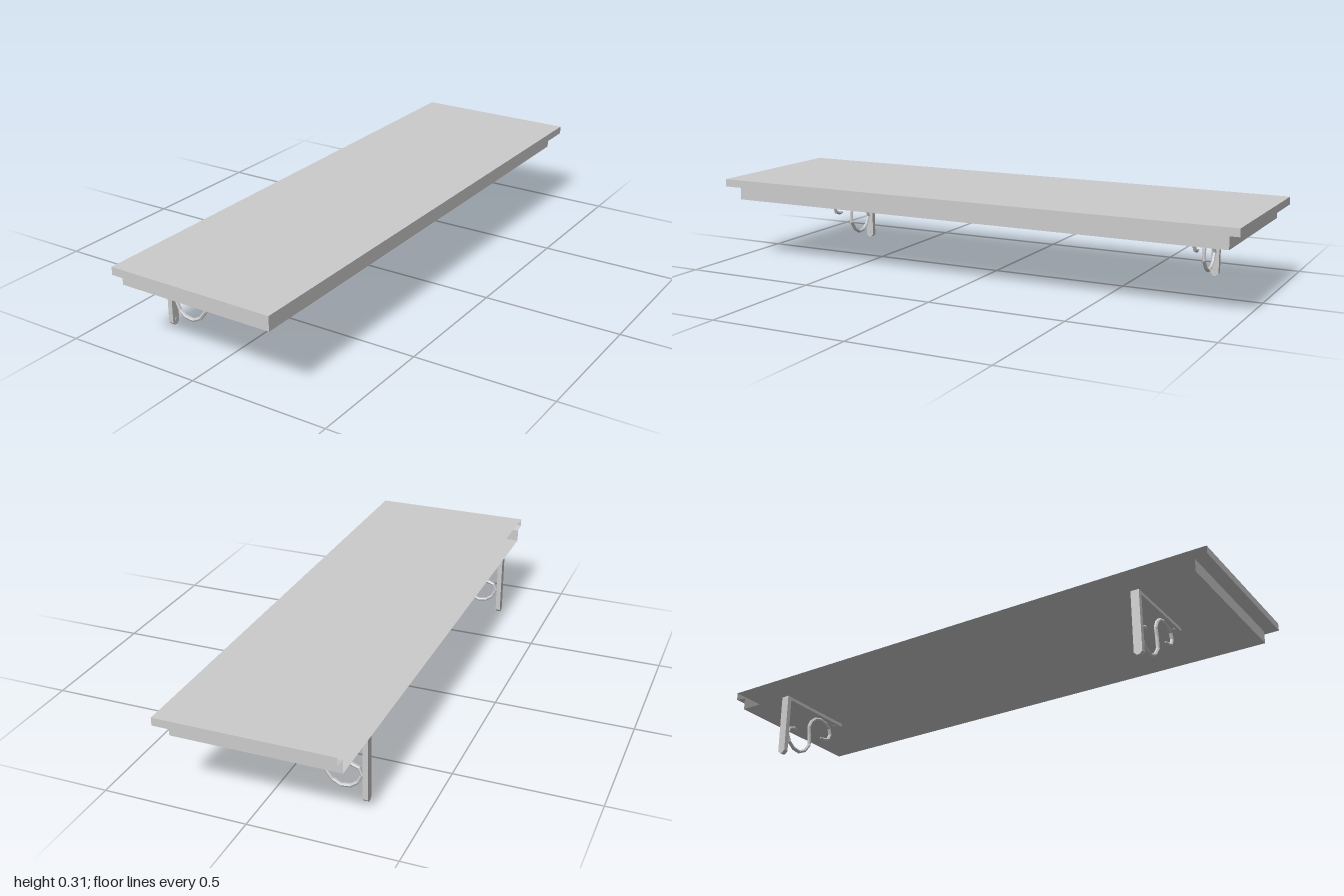
import * as THREE from 'three';

const BACK = -0.306;
const material = new THREE.MeshStandardMaterial({ color: 0xcccccc, flatShading: true });
const thinMaterial = new THREE.MeshStandardMaterial({ color: 0xcccccc, flatShading: true, side: THREE.DoubleSide });

function mesh(name, geometry, mat = material) {
  const m = new THREE.Mesh(geometry, mat);
  m.name = name;
  return m;
}

// Hollow shelf: stepped moulding on three sides, open along the wall side
function shelfGeometry() {
  const levels = [[0.312, 0.306, 1], [0.284, 0.306, 1], [0.278, 0.273, 0.957], [0.232, 0.273, 0.957]];
  const rings = levels.map(([y, x, z]) => [[BACK, y, z], [x, y, z], [x, y, -z], [BACK, y, -z]]);
  const positions = [];
  const quad = (a, b, c, d) => positions.push(...a, ...b, ...c, ...a, ...c, ...d);
  for (let i = 0; i < rings.length - 1; i++) {
    const upper = rings[i], lower = rings[i + 1];
    for (let j = 0; j < 3; j++) quad(lower[j], lower[j + 1], upper[j + 1], upper[j]);
  }
  quad(...rings[0]);
  quad(...[...rings[rings.length - 1]].reverse());
  const g = new THREE.BufferGeometry();
  g.setAttribute('position', new THREE.Float32BufferAttribute(positions, 3));
  g.computeVertexNormals();
  return g;
}

// Flat bar along +y with a chamfered tip at y = 0
function barGeometry(length, thickness) {
  const w = 0.015, c = 0.01;
  const shape = new THREE.Shape([
    [-w + c, 0], [w - c, 0], [w, c], [w, length], [-w, length], [-w, c],
  ].map(([x, y]) => new THREE.Vector2(x, y)));
  return new THREE.ExtrudeGeometry(shape, { depth: thickness, bevelEnabled: false });
}

// S-shaped scroll: a six-sided rod bent along a centre line, tapered at both tips
function scrollGeometry() {
  const path = [
    [-0.23, 0.12], [-0.245, 0.124], [-0.27, 0.115], [-0.28, 0.09], [-0.266, 0.06],
    [-0.241, 0.042], [-0.209, 0.038], [-0.179, 0.053], [-0.155, 0.085], [-0.157, 0.128],
    [-0.1625, 0.16], [-0.15, 0.185], [-0.129, 0.204], [-0.1, 0.212], [-0.066, 0.206],
    [-0.045, 0.192], [-0.0375, 0.169], [-0.048, 0.146], [-0.071, 0.138], [-0.091, 0.138],
  ].map(([x, y]) => new THREE.Vector2(x, y));
  const last = path.length - 1;
  const g = new THREE.CylinderGeometry(1, 1, 1, 6, last);
  const p = g.attributes.position;
  for (let i = 0; i < p.count; i++) {
    const k = Math.round((p.getY(i) + 0.5) * last);
    const t = path[Math.min(k + 1, last)].clone().sub(path[Math.max(k - 1, 0)]).normalize();
    const r = k === 0 || k === last ? 0.003 : 0.0068;
    const side = p.getX(i) * r;
    p.setXYZ(i, path[k].x + t.y * side, path[k].y - t.x * side, p.getZ(i) * r);
  }
  g.computeVertexNormals();
  return g;
}

function createBracket() {
  const bracket = new THREE.Group();
  bracket.name = 'bracket';
  const v = (x, y, z) => new THREE.Vector3(x, y, z);

  // Wall arm
  const upright = barGeometry(0.22, 0.018);
  upright.applyMatrix4(new THREE.Matrix4().makeBasis(v(0, 0, -1), v(0, 1, 0), v(1, 0, 0)));
  upright.translate(BACK, 0, 0);
  bracket.add(mesh('wallArm', upright));

  // Shelf arm
  const arm = barGeometry(0.023 - BACK, 0.012);
  arm.applyMatrix4(new THREE.Matrix4().makeBasis(v(0, 0, 1), v(-1, 0, 0), v(0, -1, 0)));
  arm.translate(0.023, 0.232, 0);
  bracket.add(mesh('shelfArm', arm));

  bracket.add(mesh('scroll', scrollGeometry()));

  // Screw heads
  const wallScrew = mesh('wallScrew', new THREE.CylinderGeometry(0.006, 0.006, 0.004, 8));
  wallScrew.rotation.z = Math.PI / 2;
  wallScrew.position.set(-0.288, 0.021, 0);
  const shelfScrew = mesh('shelfScrew', new THREE.CylinderGeometry(0.006, 0.006, 0.004, 8));
  shelfScrew.position.set(-0.014, 0.22, 0);
  bracket.add(wallScrew, shelfScrew);
  return bracket;
}

export function createModel() {
  const model = new THREE.Group();
  model.name = 'wallShelf';
  model.add(mesh('shelf', shelfGeometry(), thinMaterial));
  for (const z of [0.743, -0.743]) {
    const bracket = createBracket();
    bracket.position.z = z;
    model.add(bracket);
  }
  return model;
}
